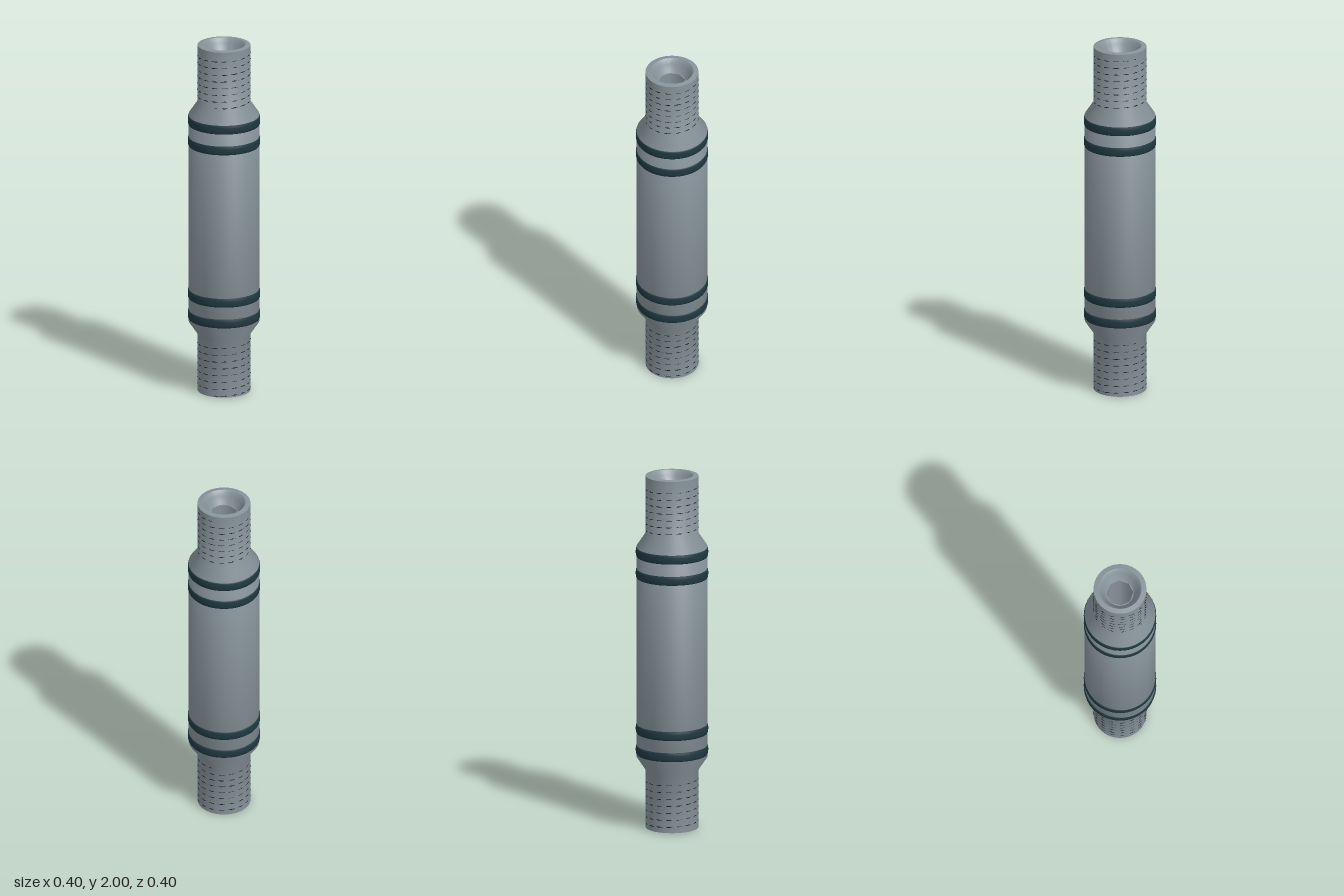
import * as THREE from 'three';
import { toCreasedNormals } from 'three/addons/utils/BufferGeometryUtils.js';

const steel = new THREE.MeshStandardMaterial({ color: 0x87949b });
const rubber = new THREE.MeshStandardMaterial({ color: 0x1f3940 });
const brass = new THREE.MeshStandardMaterial({ color: 0xa8854a });
const groove = new THREE.MeshStandardMaterial({ color: 0x101a1e });
steel.name = 'steel';
rubber.name = 'dark rubber';
brass.name = 'brass';
groove.name = 'thread groove';

const SEGMENTS = 72;
const BORE = 0.073;

function lathe(points, segments = SEGMENTS) {
  return new THREE.LatheGeometry(points.map(([r, y]) => new THREE.Vector2(r, y)), segments);
}

// Right-handed helix around the y axis
class Helix extends THREE.Curve {
  constructor(radius, bottom, top, turns) {
    super();
    Object.assign(this, { radius, bottom, top, turns });
  }
  getPoint(t, target = new THREE.Vector3()) {
    const a = t * this.turns * Math.PI * 2;
    return target.set(
      this.radius * Math.sin(a),
      this.bottom + (this.top - this.bottom) * t,
      this.radius * Math.cos(a)
    );
  }
}

export function createModel() {
  const model = new THREE.Group();
  model.name = 'threadedTube';

  function add(name, geometry, material, parent = model) {
    const mesh = new THREE.Mesh(geometry, material);
    mesh.name = name;
    parent.add(mesh);
    return mesh;
  }

  // Shell: bottom funnel, neck, barrel, neck, top funnel
  const half = [
    [BORE + 0.002, 0.93], [0.088, 0.95], [0.1, 0.972], [0.108, 0.99], [0.118, 1],
    [0.145, 0.996], [0.145, 0.67], [0.194, 0.597]
  ];
  const profile = [
    ...half.map(([r, y]) => [r, 1 - y]),
    ...half.slice().reverse().map(([r, y]) => [r, 1 + y])
  ];
  add('body', toCreasedNormals(lathe(profile), 0.6), steel);

  // Octagonal bore through the middle
  add('bore', lathe([[BORE, 1.93], [BORE, 0.07]], 8), steel);

  // Ledges joining the round funnels to the octagonal bore
  const ledge = new THREE.Shape().absarc(0, 0, BORE + 0.002, 0, Math.PI * 2);
  const corners = [];
  for (let i = 0; i < 8; i++) {
    const a = -i * Math.PI / 4;
    corners.push(new THREE.Vector2(BORE * Math.cos(a), BORE * Math.sin(a)));
  }
  ledge.holes.push(new THREE.Path(corners));
  const ledgeGeometry = new THREE.ShapeGeometry(ledge, 24);
  for (const side of [1, -1]) {
    const mesh = add(side > 0 ? 'topLedge' : 'bottomLedge', ledgeGeometry, steel);
    mesh.rotation.x = -side * Math.PI / 2;
    mesh.position.y = 1 + side * 0.93;
  }

  // Brass core, leaning slightly towards one side of the bore
  const coreGeometry = new THREE.CylinderGeometry(0.07, BORE, 0.5, 32);
  const position = coreGeometry.attributes.position;
  for (let i = 0; i < position.count; i++) {
    if (position.getY(i) > 0) position.setX(i, position.getX(i) - 0.014);
  }
  coreGeometry.computeVertexNormals();
  add('brassCore', coreGeometry, brass).position.y = 1;

  // Rounded sealing rings, in pairs near each end of the barrel
  const ringGeometry = lathe([
    [0.186, -0.026], [0.195, -0.025], [0.1975, -0.019], [0.199, -0.008],
    [0.199, 0.008], [0.1975, 0.019], [0.195, 0.025], [0.186, 0.026]
  ]);
  const rings = new THREE.Group();
  rings.name = 'sealingRings';
  model.add(rings);
  for (const y of [0.445, 0.565, 1.445, 1.565]) {
    add('sealingRing', ringGeometry, rubber, rings).position.y = y;
  }

  // Faceted thread lines that just break the surface of each neck
  for (const [name, bottom, top, turns] of [
    ['bottomThread', 0.01, 0.305, 7.5],
    ['topThread', 1.67, 1.96, 7.5]
  ]) {
    const helix = new Helix(0.1452, bottom, top, turns);
    add(name, new THREE.TubeGeometry(helix, turns * 16, 0.0025, 5), groove);
  }

  return model;
}
